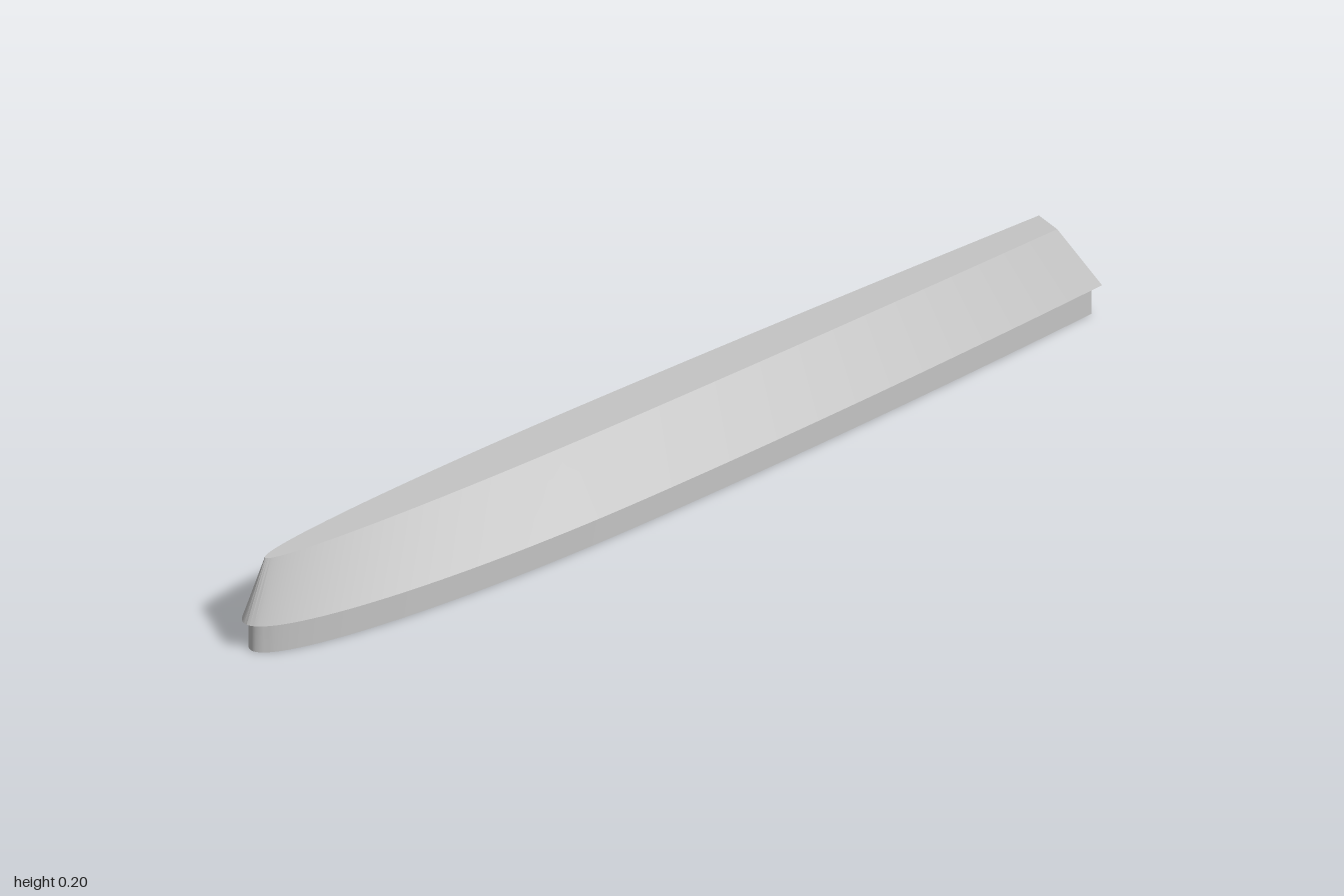
import * as THREE from 'three';
import { toCreasedNormals } from 'three/addons/utils/BufferGeometryUtils.js';

const STEPS = 32;

// Closed outline: elliptical nose at -x, gentle taper to a flat stern at +x.
function outline(nose, stern, halfWidth, sternHalf) {
  const mid = -0.2;
  const side = [];
  for (let i = 0; i <= STEPS; i++) {
    const a = (i / STEPS) * Math.PI / 2;
    side.push([mid - (mid - nose) * Math.cos(a), halfWidth * Math.sin(a)]);
  }
  for (let i = 1; i <= STEPS; i++) {
    const t = i / STEPS;
    side.push([mid + (stern - mid) * t, halfWidth - (halfWidth - sternHalf) * t ** 1.7]);
  }
  // mirror the side, leaving out the shared nose point
  return side.concat(side.slice(1).reverse().map(([x, z]) => [x, -z]));
}

// Solid between two matching outlines, with flat caps.
function loft(lower, y0, upper, y1) {
  const pos = [];
  const n = lower.length;
  const low = (i) => [lower[i % n][0], y0, lower[i % n][1]];
  const high = (i) => [upper[i % n][0], y1, upper[i % n][1]];
  const tri = (a, b, c) => pos.push(...a, ...b, ...c);
  for (let i = 0; i < n; i++) {
    tri(low(i), low(i + 1), high(i + 1));
    tri(low(i), high(i + 1), high(i));
    if (i > 0 && i < n - 1) {
      tri(high(0), high(i), high(i + 1));
      tri(low(0), low(i + 1), low(i));
    }
  }
  const geo = new THREE.BufferGeometry();
  geo.setAttribute('position', new THREE.Float32BufferAttribute(pos, 3));
  return toCreasedNormals(geo, 0.5);
}

export function createModel() {
  const grey = new THREE.MeshStandardMaterial({ color: 0xc4c4c4 });
  grey.name = 'light grey';
  const group = new THREE.Group();
  group.name = 'taperedHull';

  const add = (name, geometry) => {
    const mesh = new THREE.Mesh(geometry, grey);
    mesh.name = name;
    group.add(mesh);
  };

  // straight-walled plinth
  const foot = outline(-0.985, 0.985, 0.114, 0.065);
  add('base', loft(foot, 0, foot, 0.068));

  // overhanging body sloping in to a narrow flat top
  add('upperBody', loft(
    outline(-1, 1, 0.128, 0.079), 0.068,
    outline(-0.95, 0.93, 0.046, 0.029), 0.2));

  return group;
}
